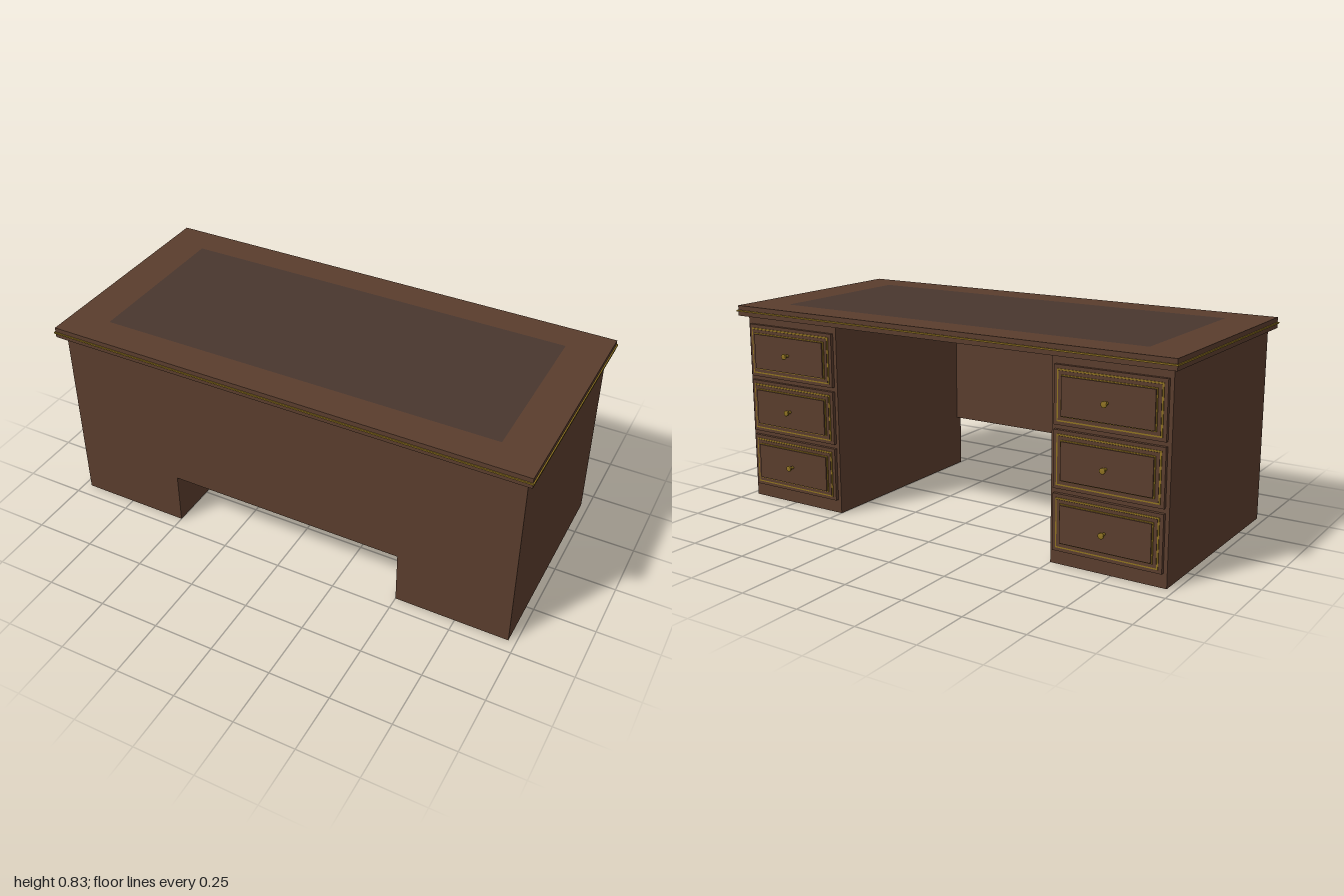
import * as THREE from 'three';

const wood = new THREE.MeshStandardMaterial({ color: 0x5a3d2d });
const leather = new THREE.MeshStandardMaterial({ color: 0x49362e });
const brass = new THREE.MeshStandardMaterial({ color: 0x8f7220 });

// Box given by its minimum and maximum corners
function box(name, material, [x0, y0, z0], [x1, y1, z1]) {
  const mesh = new THREE.Mesh(new THREE.BoxGeometry(x1 - x0, y1 - y0, z1 - z0), material);
  mesh.name = name;
  mesh.position.set((x0 + x1) / 2, (y0 + y1) / 2, (z0 + z1) / 2);
  return mesh;
}

// Rectangular frame in the XY plane, extruded from z = 0 to z = depth
function frame(name, material, w, h, rim, depth) {
  const rect = (T, a, b) => new T([[-a, -b], [a, -b], [a, b], [-a, b]].map(([x, y]) => new THREE.Vector2(x, y)));
  const shape = rect(THREE.Shape, w / 2, h / 2);
  shape.holes.push(rect(THREE.Path, w / 2 - rim, h / 2 - rim));
  const mesh = new THREE.Mesh(new THREE.ExtrudeGeometry(shape, { depth, bevelEnabled: false }), material);
  mesh.name = name;
  return mesh;
}

// Centred slab standing on z = 0
function slab(name, material, w, h, z0, z1) {
  return box(name, material, [-w / 2, -h / 2, z0], [w / 2, h / 2, z1]);
}

// Stepped drawer front with brass beading and a round knob, facing +z
function drawer() {
  const g = new THREE.Group();
  g.name = 'drawer';
  g.add(slab('drawerFront', wood, 0.44, 0.22, 0, 0.014));
  g.add(slab('drawerStep', wood, 0.4, 0.18, 0.014, 0.019));
  g.add(slab('drawerPanel', wood, 0.365, 0.145, 0.019, 0.029));
  const outer = frame('outerBead', brass, 0.412, 0.192, 0.006, 0.003);
  outer.position.z = 0.014;
  const inner = frame('innerBead', brass, 0.373, 0.153, 0.004, 0.004);
  inner.position.z = 0.019;
  const profile = [[0, 0], [0.006, 0], [0.006, 0.018], [0.011, 0.019], [0.012, 0.021], [0.012, 0.026], [0.01, 0.028], [0, 0.028]];
  const knob = new THREE.Mesh(new THREE.LatheGeometry(profile.map(([x, y]) => new THREE.Vector2(x, y)), 20), brass);
  knob.name = 'knob';
  knob.rotation.x = Math.PI / 2;
  knob.position.z = 0.029;
  g.add(outer, inner, knob);
  return g;
}

export function createModel() {
  const desk = new THREE.Group();
  desk.name = 'desk';

  // Pedestals, each with three drawers on the back side
  for (const s of [-1, 1]) {
    const pedestal = new THREE.Group();
    pedestal.name = s > 0 ? 'leftPedestal' : 'rightPedestal';
    const xs = [0.5 * s, 0.97 * s].sort((a, b) => a - b);
    pedestal.add(box('pedestalBody', wood, [xs[0], 0, -0.425], [xs[1], 0.787, 0.445]));
    for (const y of [0.166, 0.405, 0.643]) {
      const d = drawer();
      d.rotation.y = Math.PI;
      d.position.set(0.735 * s, y, -0.425);
      pedestal.add(d);
    }
    desk.add(pedestal);
  }

  // Panel closing the front above the knee hole
  desk.add(box('modestyPanel', wood, [-0.5, 0.225, 0.415], [0.5, 0.787, 0.445]));

  // Top: border boards around a flush writing surface
  const top = new THREE.Group();
  top.name = 'top';
  const y0 = 0.787, y1 = 0.83;
  top.add(box('frontBoard', wood, [-0.995, y0, 0.345], [0.995, y1, 0.48]));
  top.add(box('backBoard', wood, [-0.995, y0, -0.46], [0.995, y1, -0.33]));
  top.add(box('rightBoard', wood, [-0.995, y0, -0.33], [-0.83, y1, 0.345]));
  top.add(box('leftBoard', wood, [0.83, y0, -0.33], [0.995, y1, 0.345]));
  top.add(box('writingSurface', leather, [-0.83, y0, -0.33], [0.83, y1, 0.345]));

  // Brass band around the edge of the top
  const band = frame('edgeBand', brass, 2, 0.95, 0.006, 0.006);
  band.rotation.x = -Math.PI / 2;
  band.position.set(0, 0.805, 0.01);
  top.add(band);
  desk.add(top);

  return desk;
}
